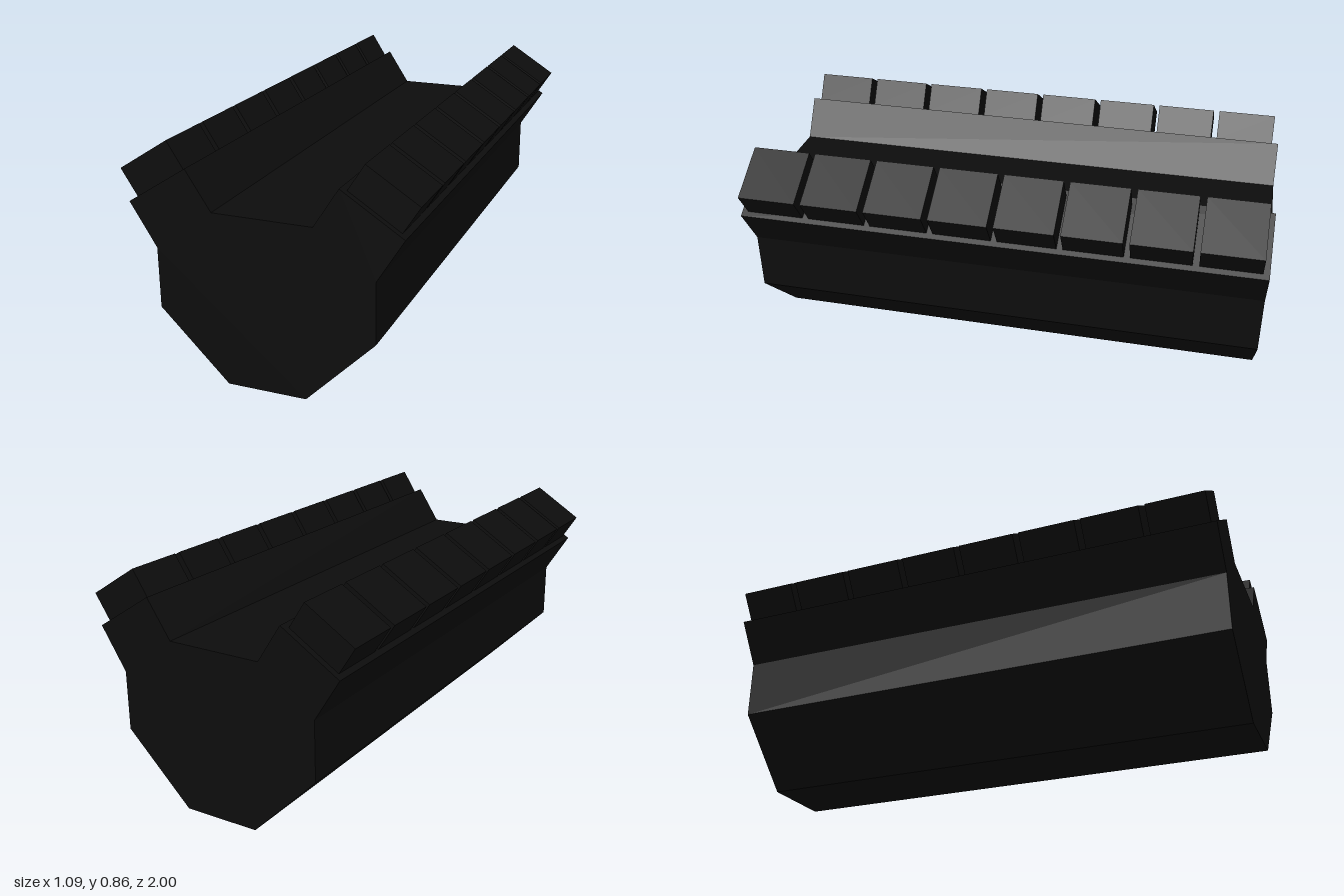
import * as THREE from 'three';

export function createModel() {
  const model = new THREE.Group();
  const black = new THREE.MeshStandardMaterial({ color: 0x0d0d0d });
  black.name = 'engine black';

  // Extrudes an outline along z, centred on the given depth position
  function extrude(name, points, depth, z) {
    const shape = new THREE.Shape(points.map(([x, y]) => new THREE.Vector2(x, y)));
    const geometry = new THREE.ExtrudeGeometry(shape, { depth, bevelEnabled: false });
    geometry.translate(0, 0, z - depth / 2);
    const mesh = new THREE.Mesh(geometry, black);
    mesh.name = name;
    return mesh;
  }

  // V-shaped block: right half outline, mirrored to the left
  const half = [[0.148, 0], [0.404, 0.255], [0.404, 0.48], [0.502, 0.638], [0.278, 0.781], [0.185, 0.638]];
  const mirrored = half.map(([x, y]) => [-x, y]).reverse();
  model.add(extrude('engineBlock', [...half, ...mirrored], 2, 0));

  // Two banks of eight cylinder heads, tilted with the block arms
  const count = 8, pitch = 0.247, depth = 0.223;
  const tilt = Math.atan2(0.119, 0.187);
  for (const side of [1, -1]) {
    const bank = new THREE.Group();
    bank.name = side > 0 ? 'leftCylinderHeads' : 'rightCylinderHeads';
    bank.position.set(side * 0.42, 0.757, 0);
    bank.rotation.z = -side * tilt;
    for (let i = 0; i < count; i++) {
      const head = new THREE.Mesh(new THREE.BoxGeometry(0.222, 0.114, depth), black);
      head.name = 'cylinderHead';
      head.position.z = (i - (count - 1) / 2) * pitch;
      bank.add(head);
    }
    model.add(bank);
  }
  return model;
}
